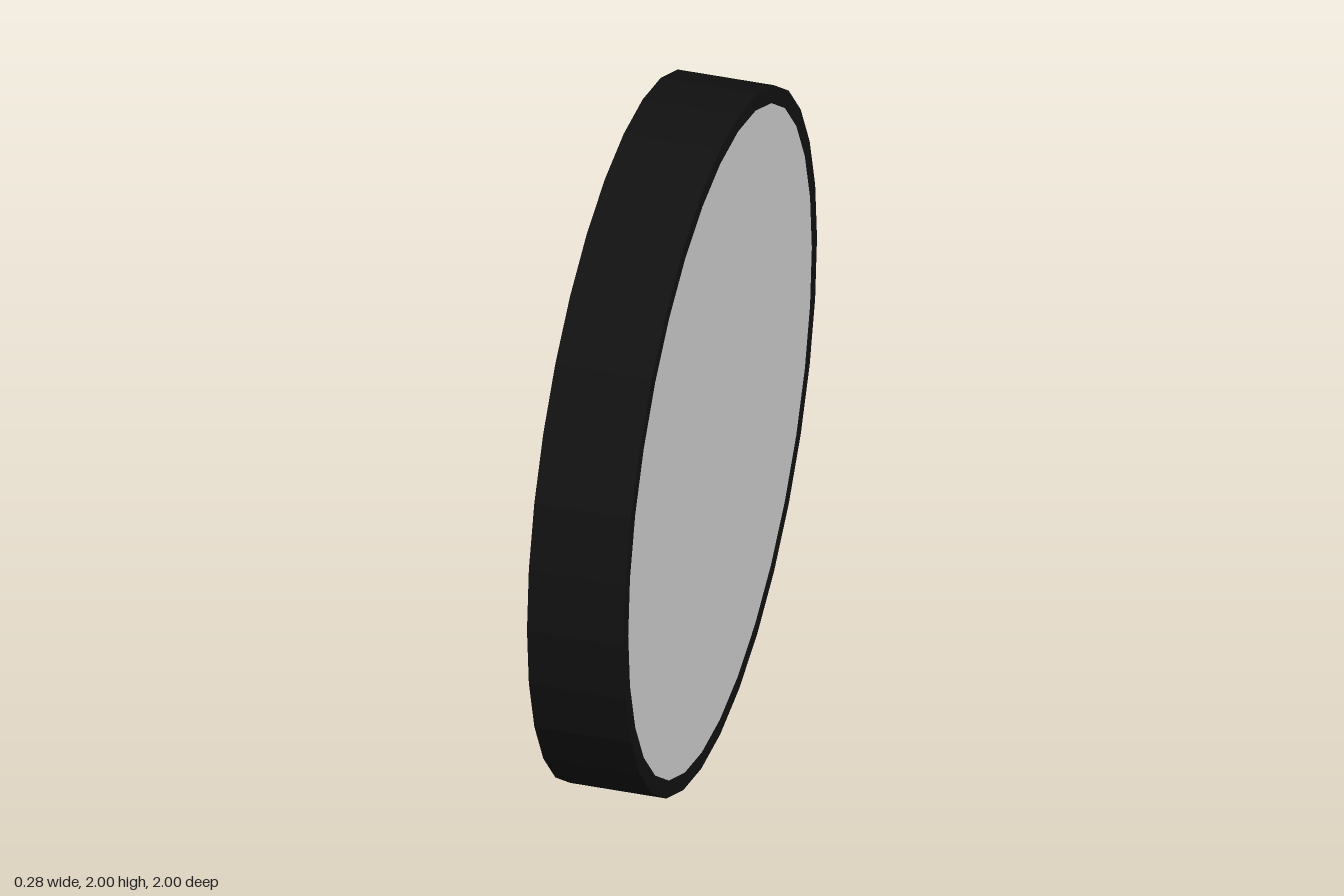
import * as THREE from 'three';

const black = new THREE.MeshStandardMaterial({ color: 0x111111 });
const grey = new THREE.MeshStandardMaterial({ color: 0xcccccc });
const TAU = Math.PI * 2;
const REPEATS = 12;

function circlePoints(r, n, x = 0, y = 0) {
  return Array.from({ length: n }, (_, i) =>
    new THREE.Vector2(x + r * Math.cos(i / n * TAU), y + r * Math.sin(i / n * TAU)));
}

// Flat part between two depths; outline and holes are lists of points
function slab(name, outline, holes, z0, z1, material = black) {
  const shape = new THREE.Shape(outline);
  for (const h of holes) shape.holes.push(new THREE.Path(h));
  const geo = new THREE.ExtrudeGeometry(shape, { depth: z1 - z0, bevelEnabled: false });
  geo.translate(0, 0, z0);
  const mesh = new THREE.Mesh(geo, material);
  mesh.name = name;
  return mesh;
}

const ring = (name, r0, r1, z0, z1, n) =>
  slab(name, circlePoints(r1, n), [circlePoints(r0, n)], z0, z1);

// Closed smooth outline, given as [radius, angle offset], turned to one repeat
function petal(coords, turn, side) {
  const pts = coords.map(([r, a]) => {
    const t = turn + side * a;
    return new THREE.Vector3(r * Math.sin(t), r * Math.cos(t), 0);
  });
  return new THREE.CatmullRomCurve3(pts, true).getPoints(14).slice(0, -1)
    .map(p => new THREE.Vector2(p.x, p.y));
}

// Pierced openings of the fretwork
function fretHoles() {
  const holes = [];
  for (let i = 0; i < REPEATS; i++) {
    const a = i / REPEATS * TAU;
    for (const s of [-1, 1]) {
      holes.push(petal([[0.90, 0.035], [0.89, 0.10], [0.82, 0.11], [0.78, 0.075], [0.83, 0.06]], a, s));
      holes.push(petal([[0.90, 0.15], [0.90, 0.23], [0.82, 0.215], [0.80, 0.17]], a, s));
      holes.push(petal([[0.73, 0.10], [0.76, 0.15], [0.72, 0.21], [0.66, 0.20], [0.69, 0.14]], a, s));
    }
    holes.push(petal([[0.76, 0], [0.69, 0.05], [0.62, 0], [0.69, -0.05]], a, 1));
    holes.push(petal([[0.62, 0], [0.57, 0.05], [0.54, 0], [0.57, -0.05]], a + Math.PI / REPEATS, 1));
  }
  return holes;
}

// Raised spiral scroll lying on the fretwork
function scroll(turn, side) {
  const pts = [];
  for (let i = 0; i <= 12; i++) {
    const t = i / 12, w = t * 4.6, r = 0.055 * (1 - 0.75 * t);
    const x = side * (0.088 + r * Math.cos(w)), y = 0.77 + r * Math.sin(w);
    pts.push(new THREE.Vector3(x * Math.cos(turn) + y * Math.sin(turn),
      y * Math.cos(turn) - x * Math.sin(turn), 0.122));
  }
  const mesh = new THREE.Mesh(
    new THREE.TubeGeometry(new THREE.CatmullRomCurve3(pts), 20, 0.009, 5), black);
  mesh.name = 'scroll';
  return mesh;
}

// Tapered clock hand
function hand(name, length, width, angle, z) {
  const v = [[-width * 0.5, -0.08], [width * 0.5, -0.08], [width * 0.4, length * 0.5],
    [width, length * 0.68], [0, length], [-width, length * 0.68], [-width * 0.4, length * 0.5]];
  const mesh = slab(name, v.map(p => new THREE.Vector2(...p)), [], z, z + 0.007);
  mesh.rotation.z = -angle;
  return mesh;
}

export function createModel() {
  const model = new THREE.Group();
  model.name = 'wallClock';

  // Everything is built facing +z, then turned so the dial faces -x
  const clock = new THREE.Group();
  clock.name = 'clock';
  clock.rotation.y = -Math.PI / 2;
  clock.position.y = 1;
  model.add(clock);

  // Case rim and back panel
  clock.add(ring('rim', 0.95, 1, -0.14, 0.137, 32));
  clock.add(slab('backPanel', circlePoints(0.951, 32), [], -0.139, -0.129, grey));

  // Fretwork surround
  clock.add(slab('fretwork', circlePoints(0.952, 64), [circlePoints(0.48, 64), ...fretHoles()], 0.03, 0.12));
  const scrolls = new THREE.Group();
  scrolls.name = 'scrolls';
  for (let i = 0; i < REPEATS; i++) {
    for (const s of [-1, 1]) scrolls.add(scroll(i / REPEATS * TAU, s));
  }
  clock.add(scrolls);

  // Dial and its border
  clock.add(slab('dial', circlePoints(0.485, 64), [], 0.03, 0.115));
  clock.add(ring('dialBorder', 0.465, 0.495, 0.10, 0.14, 64));
  clock.add(ring('innerBorder', 0.31, 0.32, 0.11, 0.12, 64));

  // Hour marks
  const marks = new THREE.Group();
  marks.name = 'hourMarks';
  for (let i = 0; i < 12; i++) {
    const mark = new THREE.Mesh(
      new THREE.BoxGeometry(i % 3 ? 0.018 : 0.035, 0.10, 0.01), black);
    const a = i / 12 * TAU;
    mark.position.set(0.39 * Math.sin(a), 0.39 * Math.cos(a), 0.118);
    mark.rotation.z = -a;
    mark.name = 'hourMark';
    marks.add(mark);
  }
  clock.add(marks);

  // Hands and hub
  clock.add(hand('hourHand', 0.26, 0.028, TAU * 10.15 / 12, 0.122));
  clock.add(hand('minuteHand', 0.40, 0.022, TAU * 9 / 60, 0.131));
  clock.add(slab('hub', circlePoints(0.035, 24), [], 0.11, 0.145));

  return model;
}
